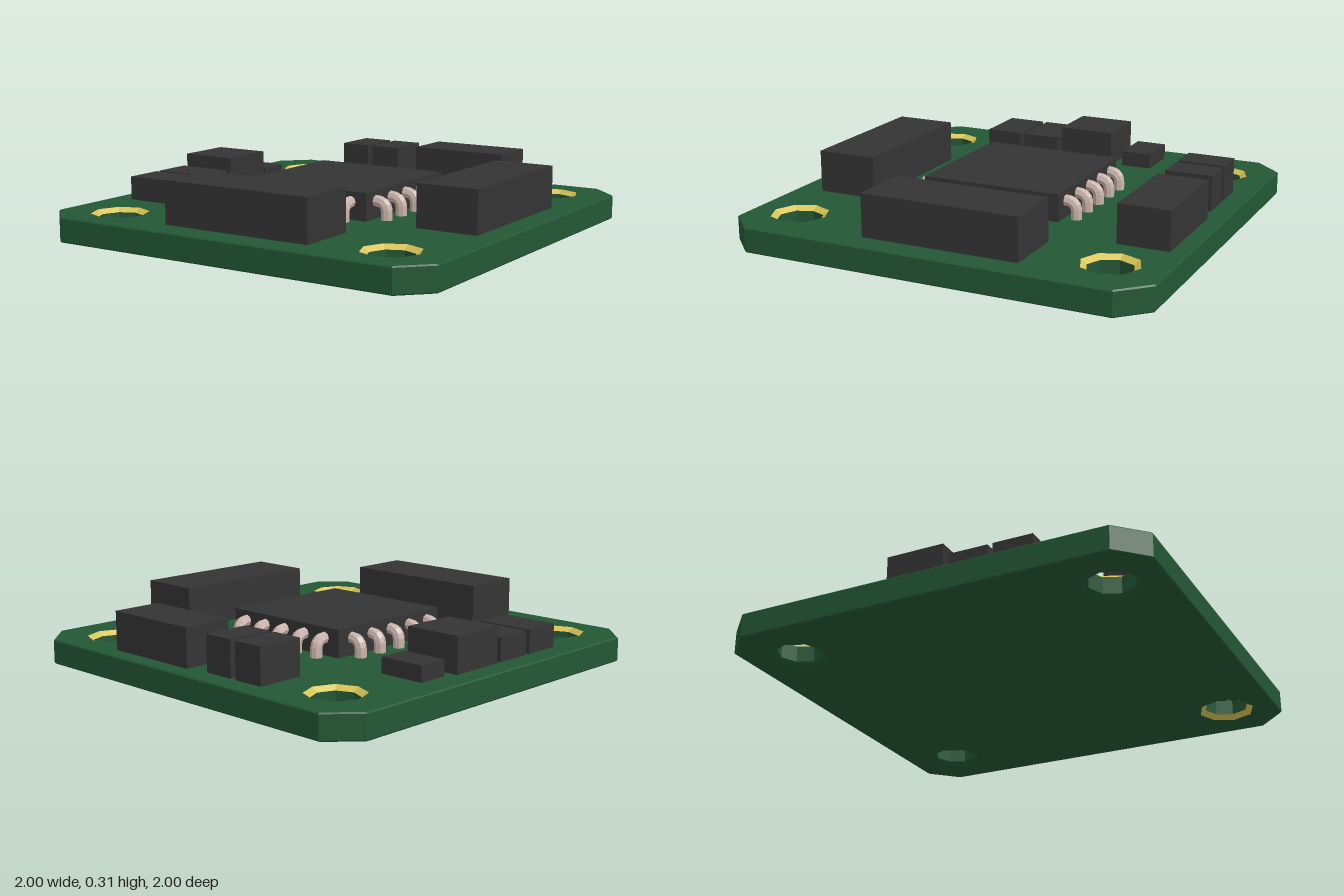
import * as THREE from 'three';

const flat = (name, color, side = THREE.FrontSide) =>
  Object.assign(new THREE.MeshStandardMaterial({ color, flatShading: true, side }), { name });

export function createModel() {
  const model = new THREE.Group();
  model.name = 'circuitBoard';
  const green = flat('boardGreen', 0x235735, THREE.DoubleSide);
  const dark = flat('componentDark', 0x353435);
  const gold = flat('padGold', 0xd9c456, THREE.DoubleSide);
  const metal = flat('pinMetal', 0xc9b3ab);

  const add = (name, geometry, material, parent = model) => {
    const mesh = new THREE.Mesh(geometry, material);
    mesh.name = name;
    parent.add(mesh);
    return mesh;
  };

  const TOP = 0.117, EDGE = 0.006, RIM = 0.133, BORE = 0.105;
  const holes = [[-0.72, -0.75], [0.725, -0.75], [-0.72, 0.765], [0.725, 0.765]];

  // Board with clipped corners and four octagonal openings
  const c = 0.87;
  const outline = new THREE.Shape([[c, -1], [1, -c], [1, c], [c, 1], [-c, 1], [-1, c], [-1, -c], [-c, -1]]
    .map(([x, y]) => new THREE.Vector2(x, y)));
  for (const [x, z] of holes) {
    const ring = [];
    for (let i = 0; i < 8; i++) {
      const a = -i * Math.PI / 4;
      ring.push(new THREE.Vector2(x + (RIM - EDGE) * Math.cos(a), -z + (RIM - EDGE) * Math.sin(a)));
    }
    outline.holes.push(new THREE.Path(ring));
  }
  const boardGeo = new THREE.ExtrudeGeometry(outline, {
    depth: TOP - 2 * EDGE, bevelEnabled: true, bevelThickness: EDGE,
    bevelSize: EDGE, bevelOffset: -EDGE, bevelSegments: 1,
  });
  boardGeo.rotateX(-Math.PI / 2).translate(0, EDGE, 0);
  add('board', boardGeo, green);

  // Mounting holes: gold countersink on top, green bore below
  const lathe = pts => new THREE.LatheGeometry(pts.map(([r, y]) => new THREE.Vector2(r, y)), 8);
  const sink = lathe([[BORE, TOP - 0.02], [RIM, TOP]]);
  const bore = lathe([[BORE, 0.02], [BORE, TOP - 0.02]]);
  const lowerRim = lathe([[RIM, 0], [BORE, 0.02]]);
  holes.forEach(([x, z], i) => {
    const hole = new THREE.Group();
    hole.name = 'mountingHole';
    hole.position.set(x, 0, z);
    add('goldRim', sink, gold, hole);
    add('bore', bore, green, hole);
    add('lowerRim', lowerRim, i === 3 ? gold : green, hole);
    model.add(hole);
  });

  // Components: name, x range, z range, top height
  const blocks = [
    ['mainChip', -0.34, 0.335, -0.34, 0.335, 0.245],
    ['frontConnector', -0.36, 0.39, 0.58, 0.87, 0.315],
    ['sideConnector', 0.59, 0.885, -0.41, 0.335, 0.315],
    ['rearModule', 0, 0.49, -0.92, -0.68, 0.298],
    ['rearCapacitor', -0.44, -0.288, -0.9, -0.675, 0.285],
    ['rearCapacitor', -0.26, -0.108, -0.9, -0.675, 0.285],
    ['smallResistor', -0.87, -0.648, -0.4, -0.252, 0.19],
    ['sideRegulator', -0.895, -0.62, -0.2, 0.073, 0.285],
    ['sideResistor', -0.895, -0.62, 0.1, 0.285, 0.228],
    ['sideResistor', -0.895, -0.62, 0.308, 0.493, 0.228],
  ];
  for (const [name, x0, x1, z0, z1, top] of blocks) {
    const h = top - TOP + 0.005;
    add(name, new THREE.BoxGeometry(x1 - x0, h, z1 - z0), dark)
      .position.set((x0 + x1) / 2, top - h / 2, (z0 + z1) / 2);
  }

  // Bent pins, five along each side of the main chip
  const v = (x, y) => new THREE.Vector3(x, y, 0);
  const path = new THREE.CurvePath();
  path.add(new THREE.LineCurve3(v(0.31, 0.198), v(0.345, 0.198)));
  path.add(new THREE.QuadraticBezierCurve3(v(0.345, 0.198), v(0.393, 0.198), v(0.393, 0.15)));
  path.add(new THREE.LineCurve3(v(0.393, 0.15), v(0.393, 0.11)));
  const pinGeo = new THREE.TubeGeometry(path, 9, 0.027, 8);
  for (let side = 0; side < 4; side++) {
    const row = new THREE.Group();
    row.name = 'pinRow';
    row.rotation.y = side * Math.PI / 2;
    for (let i = -2; i <= 2; i++) add('pin', pinGeo, metal, row).position.z = i * 0.127;
    model.add(row);
  }
  return model;
}
